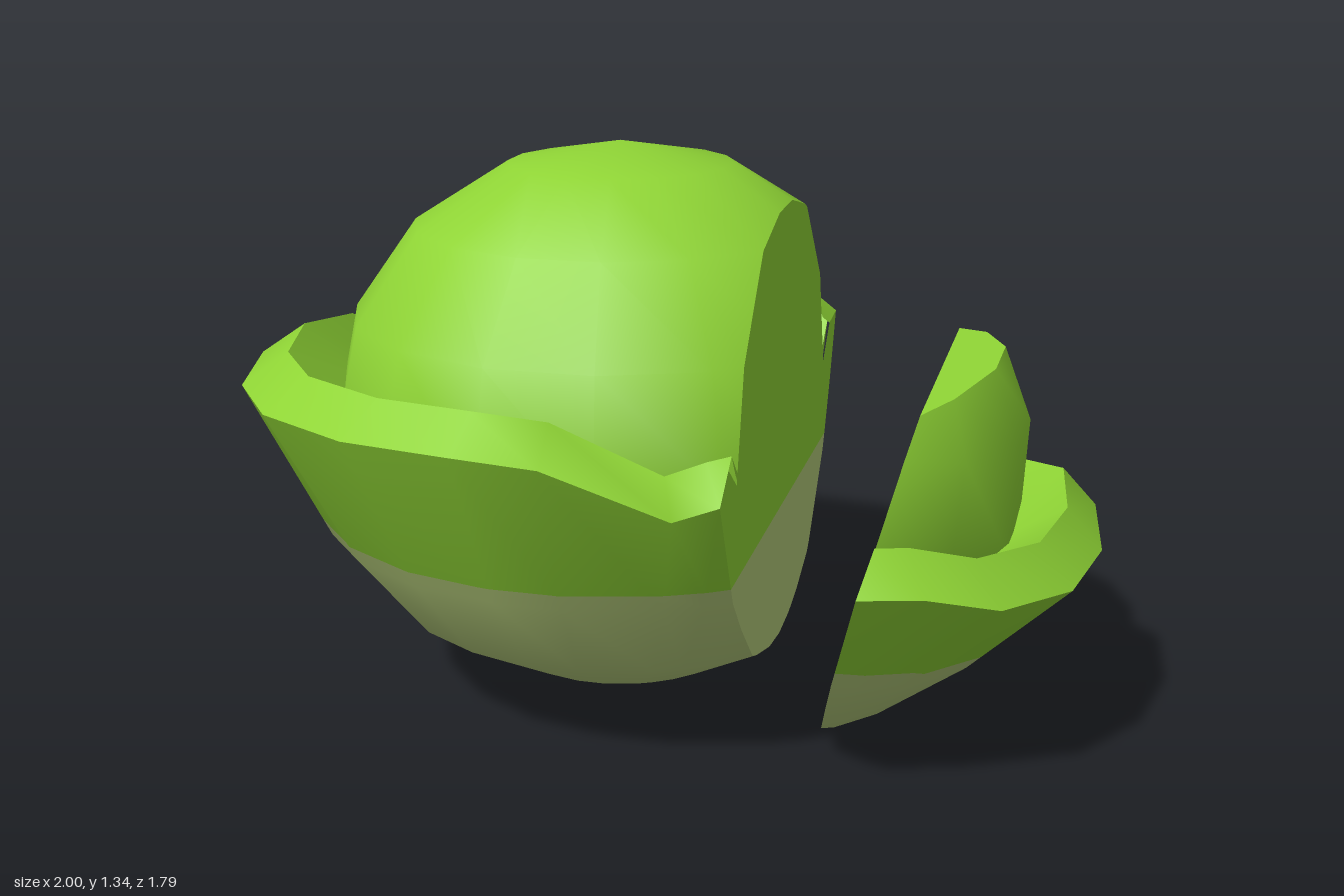
import * as THREE from 'three';
import { mergeGeometries } from 'three/addons/utils/BufferGeometryUtils.js';

const V = (x, y, z) => new THREE.Vector3(x, y, z);
const CX = -0.14; // axis of the head
const leafGreen = new THREE.MeshStandardMaterial({ name: 'leaf green', color: 0x8fd435 });
const stemGreen = new THREE.MeshStandardMaterial({ name: 'pale stem green', color: 0xb4cb7a });

// Ragged leaf edge: x, z, height
const EDGE = [
  [0.13, 0.78, 0.7], [0.03, 0.79, 0.67], [-0.23, 0.895, 0.81], [-0.42, 0.85, 0.82], [-0.66, 0.75, 0.82],
  [-0.87, 0.56, 0.82], [-0.98, 0.32, 0.82], [-1, 0.05, 0.83], [-0.94, -0.27, 0.79], [-0.81, -0.44, 0.69],
  [-0.74, -0.65, 0.78], [-0.6, -0.8, 0.81], [-0.35, -0.89, 0.81], [-0.07, -0.9, 0.8], [0.2, -0.81, 0.79],
  [0.38, -0.69, 0.78], [0.41, -0.64, 0.72], [0.535, -0.47, 0.66], [0.65, -0.27, 0.695], [0.726, -0.07, 0.755],
  [0.713, 0.197, 0.74], [0.62, 0.45, 0.72], [0.446, 0.648, 0.71], [0.27, 0.73, 0.72],
];

// Closed strip of quads through rows of points, smooth inside the strip
function strip(rows) {
  const n = rows[0].length, pos = [], idx = [];
  rows.forEach(row => row.forEach(p => pos.push(p.x, p.y, p.z)));
  for (let r = 0; r < rows.length - 1; r++) {
    for (let i = 0; i < n; i++) {
      const a = r * n + i, d = r * n + (i + 1) % n, b = a + n, c = d + n;
      idx.push(a, b, c, a, c, d);
    }
  }
  const g = new THREE.BufferGeometry();
  g.setAttribute('position', new THREE.Float32BufferAttribute(pos, 3));
  g.setIndex(idx);
  g.computeVertexNormals();
  return g.toNonIndexed();
}

// Outer leaves: a bowl with a sloping lip and a hollow towards the heart
function makeBowl() {
  const ring = (radius, y) => EDGE.map(([x, z]) => {
    const k = radius / Math.hypot(x - CX, z);
    return V(CX + (x - CX) * k, y, z * k);
  });
  const outer = EDGE.map(([x, z, y]) => V(x, y, z));
  const inner = EDGE.map(([x, z, y]) => V(CX + (x - CX) * 0.88, y + 0.07, z * 0.88));
  const low = ring(0.65, 0).map((p, i) => p.setY(inner[i].y - 0.12));
  return mergeGeometries([
    strip([ring(0, 0.045), ring(0.28, 0.09), ring(0.54, 0.23), ring(0.71, 0.44), outer]),
    strip([outer, inner]),
    strip([inner, low]),
    strip([low, ring(0, 0.7)]),
  ]);
}

function makeHeart() {
  const g = new THREE.SphereGeometry(0.69, 16, 8).toNonIndexed();
  g.scale(1, 0.65 / 0.69, 1);
  g.translate(CX, 0.69, 0);
  g.deleteAttribute('uv');
  return g;
}

// Keep the part with n.p <= c; also returns the points on the cut
function clip(geo, n, c) {
  const P = geo.attributes.position, N = geo.attributes.normal, pos = [], nor = [], cut = [];
  for (let t = 0; t < P.count; t += 3) {
    const poly = [];
    for (let k = 0; k < 3; k++) {
      const i = t + k, j = t + (k + 1) % 3;
      const a = V().fromBufferAttribute(P, i), b = V().fromBufferAttribute(P, j);
      const na = V().fromBufferAttribute(N, i), nb = V().fromBufferAttribute(N, j);
      const da = n.dot(a) - c, db = n.dot(b) - c;
      if (da <= 0) poly.push([a, na]);
      if ((da <= 0) !== (db <= 0)) {
        const s = da / (da - db), p = a.clone().lerp(b, s);
        poly.push([p, na.clone().lerp(nb, s).normalize()]);
        cut.push(p);
      }
    }
    for (let k = 1; k < poly.length - 1; k++) {
      for (const [p, q] of [poly[0], poly[k], poly[k + 1]]) {
        pos.push(p.x, p.y, p.z);
        nor.push(q.x, q.y, q.z);
      }
    }
  }
  return { geo: fromArrays(pos, nor), cut };
}

function fromArrays(pos, nor) {
  const g = new THREE.BufferGeometry();
  g.setAttribute('position', new THREE.Float32BufferAttribute(pos, 3));
  g.setAttribute('normal', new THREE.Float32BufferAttribute(nor, 3));
  return g;
}

// Flat face closing a cut, as a fan around a centre on the plane
function capFace(points, n, centre) {
  const e1 = n.clone().cross(V(0, 0, 1)).normalize(), e2 = n.clone().cross(e1);
  const angle = p => Math.atan2(p.clone().sub(centre).dot(e2), p.clone().sub(centre).dot(e1));
  const sorted = points.slice().sort((a, b) => angle(a) - angle(b));
  const pos = [], nor = [];
  sorted.forEach((p, i) => {
    for (const q of [centre, p, sorted[(i + 1) % sorted.length]]) {
      pos.push(q.x, q.y, q.z);
      nor.push(n.x, n.y, n.z);
    }
  });
  return fromArrays(pos, nor);
}

// Clip a solid and close it
function slice(geo, n, c, centre) {
  const r = clip(geo, n, c);
  const mid = centre || r.cut.reduce((s, p) => s.add(p), V(0, 0, 0)).divideScalar(r.cut.length);
  return mergeGeometries([r.geo, capFace(r.cut, n, mid)]);
}

export function createModel() {
  const model = new THREE.Group();
  model.name = 'cutCabbage';
  const up = V(0, 1, 0), down = V(0, -1, 0);
  const n = V(0.986, 0, 0.168).normalize(), c = 0.259;
  const foot = V(CX, 0, 0).addScaledVector(n, c - n.x * CX);
  const bowl = makeBowl();
  const heart = clip(makeHeart(), down, -0.48).geo;

  function addPiece(name, normal, offset, trim) {
    const group = new THREE.Group();
    group.name = name;
    const add = (part, geo, mat) => {
      const mesh = new THREE.Mesh(geo, mat);
      mesh.name = part;
      group.add(mesh);
    };
    const leaves = slice(bowl, normal, offset, foot.clone().setY(0.2));
    add('outerLeaves', clip(leaves, up, 0.48).geo, stemGreen);
    add('outerLeafTops', clip(leaves, down, -0.48).geo, leafGreen);
    let core = slice(heart, normal, offset, foot.clone().setY(0.6));
    if (trim) core = slice(core, trim.n, trim.c);
    add('heart', core, leafGreen);
    model.add(group);
    return group;
  }

  addPiece('mainHead', n, c);

  // Cut-off piece, leaning outwards, with the top of its heart trimmed
  const trimNormal = V(0, 1, 0).addScaledVector(n, -0.59).normalize();
  const trim = { n: trimNormal, c: trimNormal.dot(foot.clone().setY(1.02)) };
  const piece = addPiece('fallenSlice', n.clone().negate(), -c, trim);
  piece.children.forEach(m => m.geometry.translate(-foot.x, -0.48, -foot.z));
  piece.quaternion.setFromAxisAngle(V(n.z, 0, -n.x), 0.264);
  piece.position.set(0.474, 0.32, 0.13);
  return model;
}
